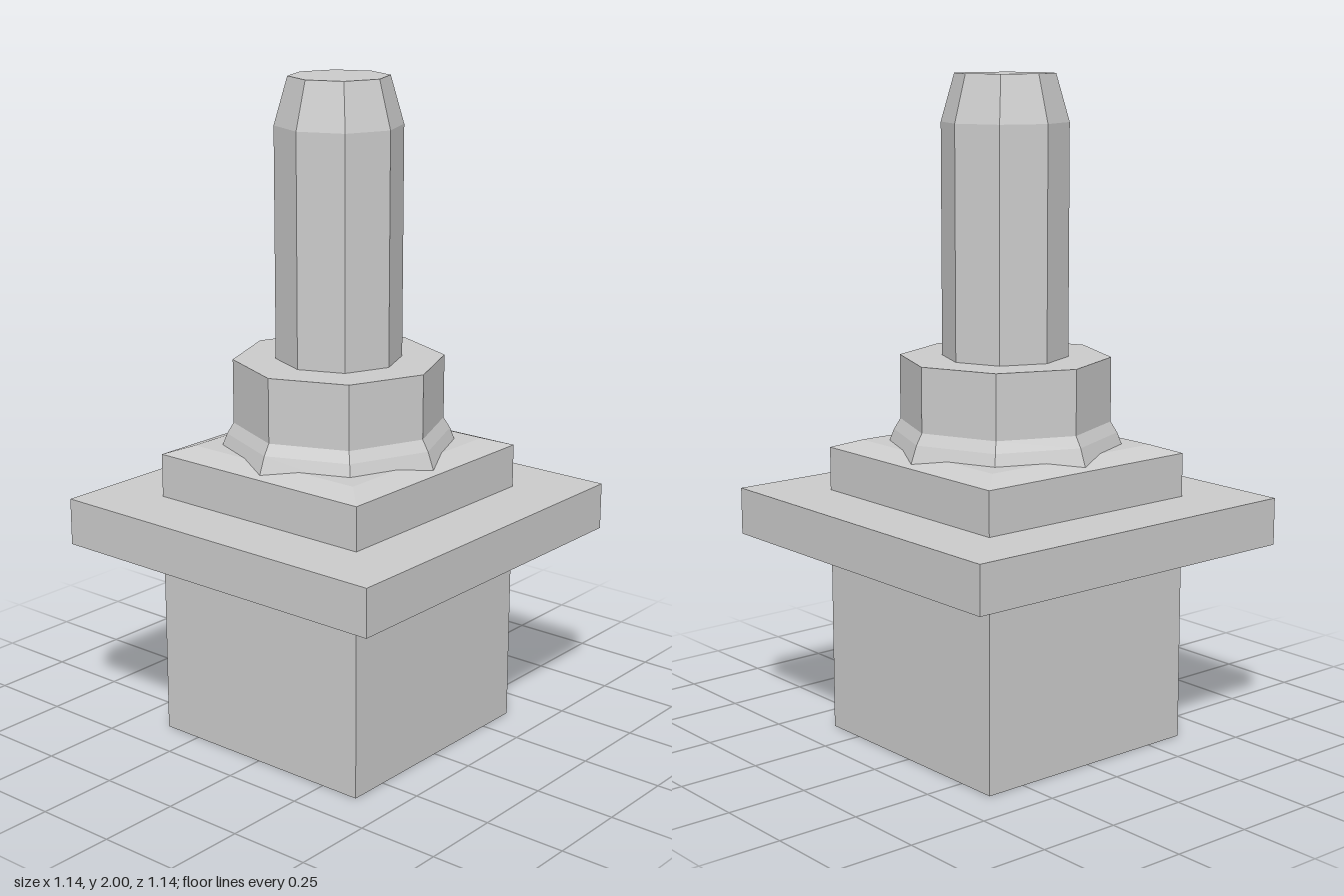
import * as THREE from 'three';

const material = new THREE.MeshStandardMaterial({ color: 0xcccccc, flatShading: true });

// Faceted solid turned from a closed [radius, height] profile, listed bottom to top
function turned(name, profile, sides, phase = 0) {
  const points = profile.map(([r, y]) => new THREE.Vector2(r, y));
  const mesh = new THREE.Mesh(new THREE.LatheGeometry(points, sides, phase), material);
  mesh.name = name;
  return mesh;
}

// Square solid: profile gives half-widths instead of corner radii
function square(name, profile) {
  return turned(name, profile.map(([w, y]) => [w * Math.SQRT2, y]), 4, Math.PI / 4);
}

export function createModel() {
  const model = new THREE.Group();
  model.name = 'squareBasePost';

  // Square block with a shallow bevelled top
  model.add(square('baseBlock', [[0, 0], [0.375, 0], [0.375, 0.885], [0.305, 0.91], [0, 0.91]]));

  // Wide square flange around the block
  model.add(square('flange', [[0, 0.61], [0.57, 0.61], [0.57, 0.753], [0, 0.753]]));

  // Octagonal collar with a flared skirt
  model.add(turned('collar', [
    [0, 0.885], [0.358, 0.885], [0.335, 0.945], [0.315, 0.978], [0.315, 1.172], [0, 1.172],
  ], 8));

  // Octagonal shaft with a tapered tip
  model.add(turned('shaft', [[0, 1.15], [0.188, 1.15], [0.188, 1.86], [0.148, 2], [0, 2]], 8));

  return model;
}
